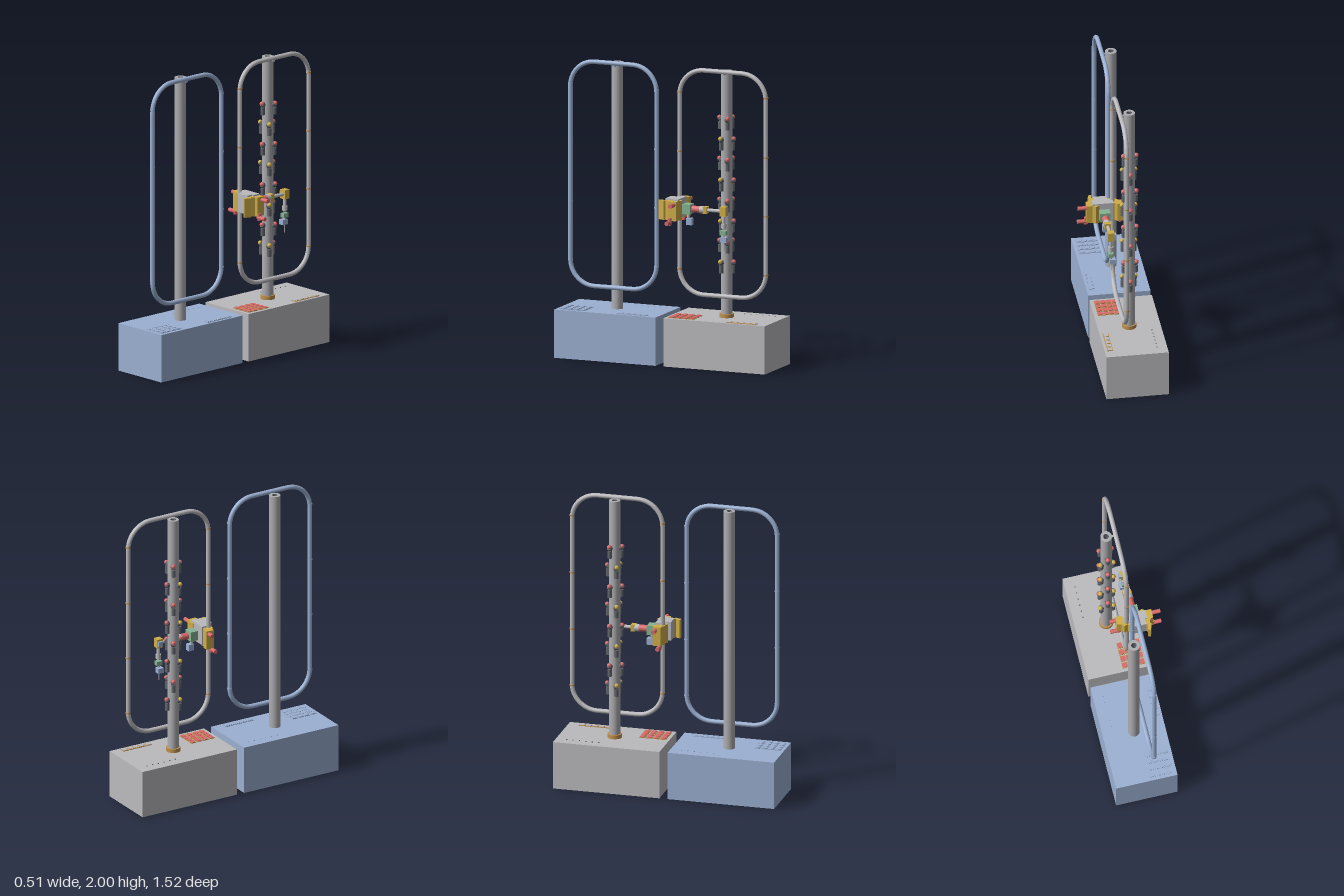
import * as THREE from 'three';

const mat = (name, color, side = THREE.FrontSide) => {
  const m = new THREE.MeshStandardMaterial({ color, side });
  m.name = name;
  return m;
};

export function createModel() {
  const root = new THREE.Group();
  root.name = 'twinLoopStations';
  const gray = mat('light gray', 0xbbbabe);
  const blue = mat('soft blue', 0x9bb0d2);
  const steel = mat('mast gray', 0xaeaeb1);
  const dark = mat('dark gray', 0x62666c);
  const red = mat('coral red', 0xd96a6a);
  const yellow = mat('mustard yellow', 0xcfae48);
  const orange = mat('bronze orange', 0xc2924e);
  const green = mat('sage green', 0x86b394);

  const add = (parent, name, geo, m, x = 0, y = 0, z = 0) => {
    const mesh = new THREE.Mesh(geo, m);
    mesh.name = name;
    mesh.position.set(x, y, z);
    parent.add(mesh);
    return mesh;
  };
  const box = (p, name, m, x, y, z, w, h, d) =>
    add(p, name, new THREE.BoxGeometry(w, h, d), m, x, y, z);
  // Cylinder along the chosen axis, centred on the given point
  const rod = (p, name, m, x, y, z, r, len, axis = 'y', r2 = r) => {
    const g = new THREE.CylinderGeometry(r, r2, len, 20);
    if (axis === 'x') g.rotateZ(Math.PI / 2);
    if (axis === 'z') g.rotateX(Math.PI / 2);
    return add(p, name, g, m, x, y, z);
  };

  // Rounded upright loop in the yz plane
  const loopPath = () => {
    const w = 0.311, h = 0.755, r = 0.172;
    const path = new THREE.CurvePath();
    const v = (z, y) => new THREE.Vector3(0, y, z);
    const corners = [[1, 1], [-1, 1], [-1, -1], [1, -1]];
    corners.forEach(([a, b], i) => {
      const start = Math.atan2(b, a) - Math.PI / 4;
      const pts = [];
      for (let k = 0; k <= 10; k++) {
        const t = start + (k / 10) * Math.PI / 2;
        pts.push(v(a * (w - r) + r * Math.cos(t), b * (h - r) + r * Math.sin(t)));
      }
      for (let k = 0; k < 10; k++) path.add(new THREE.LineCurve3(pts[k], pts[k + 1]));
      const [c, d] = corners[(i + 1) % 4];
      const next = start + Math.PI / 2;
      path.add(new THREE.LineCurve3(pts[10],
        v(c * (w - r) + r * Math.cos(next), d * (h - r) + r * Math.sin(next))));
    });
    return path;
  };

  // Base, mast, loop and control pads shared by both stations
  const station = (name, zc, bodyMat, coloured) => {
    const g = new THREE.Group();
    g.name = name;
    g.position.z = zc;
    root.add(g);
    box(g, 'base', bodyMat, -0.049, 0.1625, 0, 0.418, 0.325, 0.732);

    const tube = [[0.018, 0.325], [0.038, 0.325], [0.038, 1.985], [0.018, 1.985], [0.018, 0.325]];
    const mastGeo = new THREE.CylinderGeometry(0.038, 0.038, 1.66, 32, 1, true);
    add(g, 'mast', mastGeo, steel, -0.049, 1.155, 0);
    const bore = new THREE.LatheGeometry(
      tube.slice(3).map(([r, y]) => new THREE.Vector2(r, y)), 24);
    add(g, 'mastBore', bore, dark, -0.049, 0, 0);
    const rim = new THREE.RingGeometry(0.018, 0.038, 32);
    rim.rotateX(-Math.PI / 2);
    add(g, 'mastRim', rim, steel, -0.049, 1.985, 0);
    rod(g, 'loopBracket', bodyMat, -0.005, 1.965, 0, 0.008, 0.04, 'x');

    add(g, 'loop', new THREE.TubeGeometry(loopPath(), 240, 0.0155, 12, true), bodyMat, 0.015, 1.23, 0);
    for (const s of [-1, 1])
      for (const y of [0.64, 1.035, 1.43, 1.83])
        rod(g, 'loopRing', coloured ? orange : bodyMat, 0.015, y, s * 0.311, 0.0165, 0.009);

    // Button grid
    for (let i = 0; i < 4; i++)
      for (let j = 0; j < 4; j++) {
        const x = 0.001 + i * 0.0385, z = 0.18 + j * 0.0475;
        box(g, 'buttonFrame', coloured ? orange : bodyMat, x, 0.327, z, 0.037, 0.004, 0.04);
        rod(g, 'button', coloured ? red : bodyMat, x, 0.329, z, 0.018, 0.007);
      }
    // Slot strip
    for (let i = 0; i < 5; i++) {
      const z = -0.27 + i * 0.044;
      box(g, 'slotFrame', coloured ? orange : bodyMat, 0.122, 0.327, z, 0.038, 0.004, 0.042);
      box(g, 'slot', bodyMat, 0.122, 0.328, z, 0.028, 0.006, 0.034);
    }
    // Row of indicator pins
    for (let i = 0; i < 6; i++)
      rod(g, 'indicator', coloured ? dark : bodyMat, -0.19, 0.327, -0.29 + i * 0.044, 0.004, 0.005);
    return g;
  };

  station('frontStation', 0.394, blue, false);
  const rear = station('rearStation', -0.394, gray, true);
  rod(rear, 'mastCollar', orange, -0.049, 0.338, 0, 0.048, 0.026);

  // Staggered rings of lamps up the rear mast
  for (let row = 0; row < 8; row++) {
    const odd = row % 2;
    for (let k = 0; k < 3; k++) {
      const lamp = new THREE.Group();
      lamp.name = 'lamp';
      lamp.position.set(-0.049, 1.655 - row * 0.138, 0);
      lamp.rotation.y = odd * Math.PI + k * Math.PI * 2 / 3;
      rear.add(lamp);
      const m = odd && k > 0 ? yellow : red;
      box(lamp, 'lampBracket', dark, 0, -0.022, 0.038, 0.026, 0.085, 0.018);
      rod(lamp, 'lampSocket', dark, 0, -0.04, 0.046, 0.014, 0.05);
      const hood = rod(lamp, 'lampHood', dark, 0, 0.005, 0.044, 0.018, 0.018);
      hood.rotation.x = 0.9;
      add(lamp, 'lampBulb', new THREE.SphereGeometry(0.0155, 16, 10), m, 0, 0.012, 0.051);
    }
  }

  // Gripper and jointed arm beside the rear mast
  const arm = new THREE.Group();
  arm.name = 'gripperArm';
  arm.position.set(0.08, 1.06, 0);
  root.add(arm);
  box(arm, 'palm', gray, 0.005, 0.005, -0.105, 0.14, 0.13, 0.055);
  box(arm, 'palmFace', gray, 0.015, 0.005, -0.06, 0.09, 0.13, 0.05);

  // Ribbed jaw outline, drawn as (x, -z) and extruded upward
  const jaw = (name, pts) => {
    const s = new THREE.Shape(pts.map(([x, z]) => new THREE.Vector2(x, -z)));
    const geo = new THREE.ExtrudeGeometry(s, { depth: 0.13, bevelEnabled: false });
    geo.rotateX(-Math.PI / 2);
    add(arm, name, geo, yellow, 0, -0.07, 0);
  };
  jaw('rightJaw', [[0.03, -0.14], [0.055, -0.15], [0.075, -0.135], [0.115, -0.135], [0.115, -0.075],
    [0.095, -0.07], [0.085, -0.045], [0.095, -0.035], [0.08, 0.008], [0.06, 0.0], [0.07, -0.03],
    [0.055, -0.04], [0.065, -0.07], [0.035, -0.08], [0.045, -0.105]]);
  jaw('leftJaw', [[-0.13, -0.135], [-0.09, -0.135], [-0.075, -0.12], [-0.05, -0.125], [-0.03, -0.09],
    [-0.018, -0.075], [-0.045, -0.05], [-0.06, -0.065], [-0.085, -0.06], [-0.1, -0.075], [-0.13, -0.08]]);
  for (const s of [-1, 1]) {
    rod(arm, 'upperPin', red, s * 0.138, 0.038, -0.117, 0.014, 0.07, 'x');
    rod(arm, 'lowerPin', red, s * 0.138, -0.08, -0.09, 0.014, 0.07, 'x');
    rod(arm, 'pinPost', red, s * 0.115, -0.075, -0.09, 0.012, 0.05);
  }
  box(arm, 'wrist', green, 0, 0, -0.172, 0.07, 0.066, 0.056);
  box(arm, 'wristSensor', blue, 0, -0.085, -0.185, 0.035, 0.045, 0.04);
  rod(arm, 'sensorStem', gray, 0, -0.045, -0.175, 0.01, 0.06);
  rod(arm, 'redJoint', red, 0, 0, -0.235, 0.023, 0.06, 'z');
  rod(arm, 'grayJoint', gray, 0, 0, -0.275, 0.025, 0.03, 'z');
  box(arm, 'yellowJoint', yellow, 0, 0, -0.3, 0.042, 0.046, 0.03);
  rod(arm, 'forearm', gray, 0, 0, -0.36, 0.012, 0.11, 'z');
  box(arm, 'elbow', yellow, 0, 0, -0.43, 0.045, 0.062, 0.042);
  box(arm, 'elbowCap', blue, -0.027, 0, -0.432, 0.018, 0.035, 0.032);
  rod(arm, 'dropRod', gray, 0, -0.07, -0.43, 0.012, 0.1);
  rod(arm, 'dropJoint', gray, 0, -0.098, -0.43, 0.018, 0.03);
  box(arm, 'toolHolder', green, 0, -0.145, -0.428, 0.032, 0.03, 0.042);
  box(arm, 'toolHead', blue, -0.012, -0.193, -0.428, 0.04, 0.035, 0.042);
  rod(arm, 'toolNeck', gray, 0, -0.17, -0.428, 0.008, 0.04);
  rod(arm, 'toolTip', gray, -0.003, -0.235, -0.428, 0.004, 0.06);
  return root;
}
